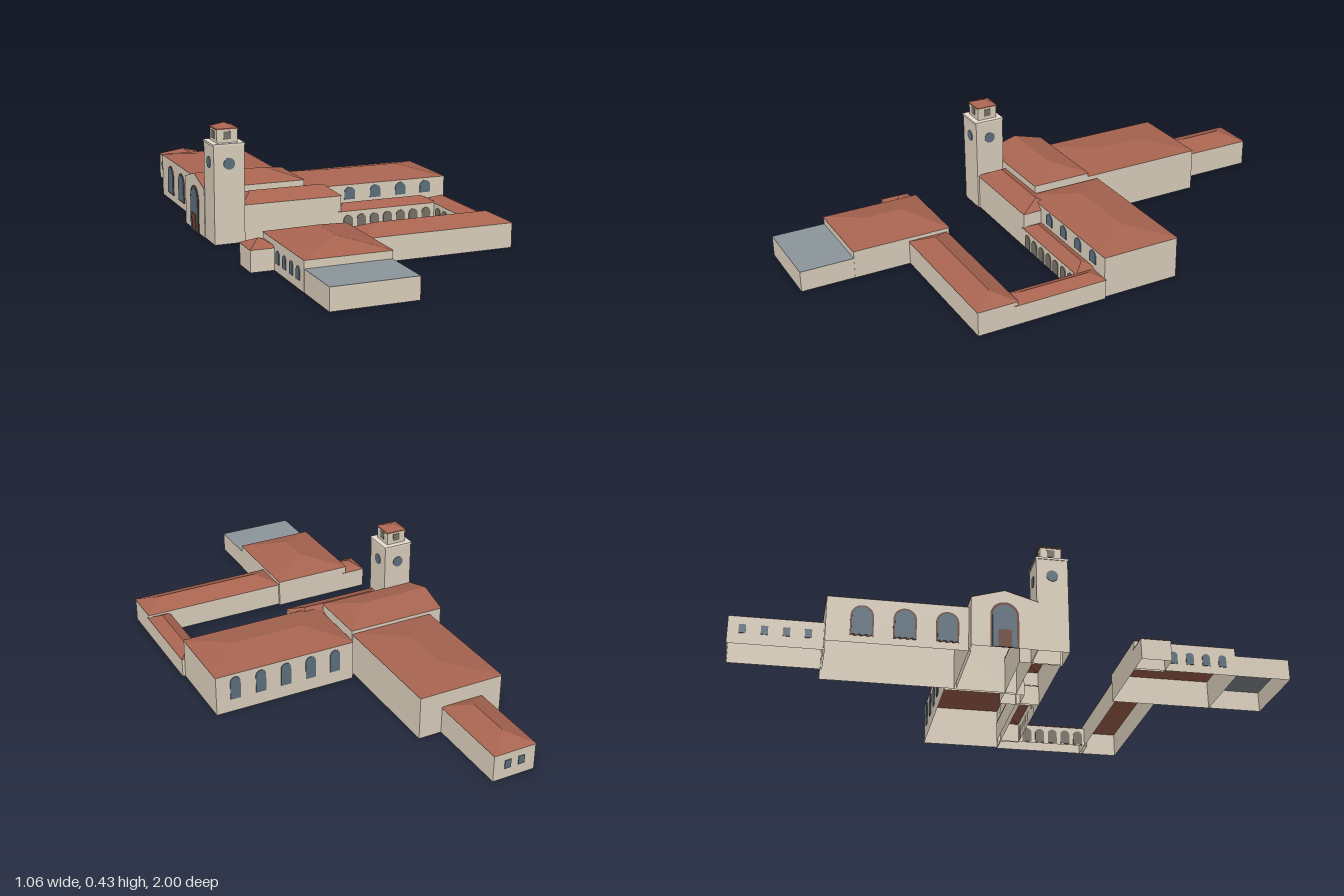
import * as THREE from 'three';

const mat = (color) => new THREE.MeshStandardMaterial({ color, flatShading: true, side: THREE.DoubleSide });
const WALL = mat(0xdfd3c0), ROOF = mat(0xa86450), GLASS = mat(0x5f7280), FRAME = mat(0x6e4436);
const FLAT = mat(0x8c959b), SHADE = mat(0x7a7468), TRIM = mat(0xe8dfd0);
const SOUTH = 0, NORTH = Math.PI, WEST = -Math.PI / 2, EAST = Math.PI / 2;

function add(parent, name, geometry, material, x = 0, y = 0, z = 0, yaw = 0) {
  const mesh = new THREE.Mesh(geometry, material);
  mesh.name = name;
  mesh.position.set(x, y, z);
  mesh.rotation.y = yaw;
  parent.add(mesh);
  return mesh;
}

function triangles(points, faces) {
  const g = new THREE.BufferGeometry();
  g.setAttribute('position', new THREE.Float32BufferAttribute(faces.flatMap((i) => points[i]), 3));
  g.computeVertexNormals();
  return g;
}

// Four walls, open below and above
function wallRing(w, h, d) {
  const x = w / 2, z = d / 2, pts = [], faces = [];
  for (const [px, pz] of [[-x, z], [x, z], [x, -z], [-x, -z]]) pts.push([px, 0, pz], [px, h, pz]);
  for (let i = 0; i < 4; i++) {
    const a = i * 2, b = ((i + 1) % 4) * 2;
    faces.push(a, b, b + 1, a, b + 1, a + 1);
  }
  return triangles(pts, faces);
}

// Hipped roof with its ridge along x; inset 0 leaves that end open for a gable
function hipRoof(l, w, rise, inset0, inset1) {
  const x = l / 2, z = w / 2;
  const pts = [[-x, 0, -z], [x, 0, -z], [x, 0, z], [-x, 0, z], [-x + inset0, rise, 0], [x - inset1, rise, 0]];
  const faces = [3, 2, 5, 3, 5, 4, 1, 0, 4, 1, 4, 5];
  if (inset0 > 0) faces.push(0, 3, 4);
  if (inset1 > 0) faces.push(2, 1, 5);
  return triangles(pts, faces);
}

// Block of walls under a hipped roof
function building(parent, name, [x0, x1, z0, z1], eave, ridge, insets, alongZ = false) {
  const g = new THREE.Group();
  g.name = name;
  g.position.set((x0 + x1) / 2, 0, (z0 + z1) / 2);
  parent.add(g);
  const w = x1 - x0, d = z1 - z0, o = 0.004;
  add(g, name + 'Walls', wallRing(w, eave, d), WALL);
  const roof = alongZ ? hipRoof(d + o, w + o, ridge - eave, ...insets) : hipRoof(w + o, d + o, ridge - eave, ...insets);
  add(g, name + 'Roof', roof, ROOF, 0, eave, 0, alongZ ? Math.PI / 2 : 0);
  return g;
}

// Thin panel with an optional round head, standing on a wall
function opening(parent, name, x, y, z, w, h, yaw, material, round = true, depth = 0.003) {
  const r = w / 2, s = new THREE.Shape();
  s.moveTo(-r, 0);
  s.lineTo(r, 0);
  s.lineTo(r, round ? h - r : h);
  if (round) s.absarc(0, h - r, r, 0, Math.PI, false);
  else s.lineTo(-r, h);
  s.closePath();
  const geo = new THREE.ExtrudeGeometry(s, { depth, bevelEnabled: false, curveSegments: 8 });
  add(parent, name, geo, material, x, y, z, yaw);
}

function tower(parent) {
  const g = new THREE.Group();
  g.name = 'bellTower';
  g.position.set(-0.388, 0, 0.137);
  parent.add(g);
  add(g, 'towerShaft', wallRing(0.113, 0.356, 0.113), WALL);
  add(g, 'towerCornice', new THREE.BoxGeometry(0.118, 0.008, 0.118), TRIM, 0, 0.358, 0);
  add(g, 'belfry', wallRing(0.077, 0.052, 0.077), WALL, 0, 0.36, 0);
  add(g, 'belfryEave', new THREE.BoxGeometry(0.083, 0.004, 0.083), ROOF, 0, 0.411, 0);
  add(g, 'belfryRoof', hipRoof(0.083, 0.083, 0.017, 0.0415, 0.0415), ROOF, 0, 0.412, 0);
  for (const yaw of [SOUTH, NORTH, WEST, EAST]) {
    const side = new THREE.Group();
    side.name = 'towerSide';
    side.rotation.y = yaw;
    g.add(side);
    const disc = add(side, 'roundWindow', new THREE.CylinderGeometry(0.021, 0.021, 0.003, 20), GLASS, 0, 0.29, 0.057);
    disc.rotation.x = Math.PI / 2;
    opening(side, 'belfryOpening', 0, 0.374, 0.0375, 0.027, 0.028, 0, SHADE, false);
  }
}

export function createModel() {
  const root = new THREE.Group();
  root.name = 'courtyardComplex';
  const site = new THREE.Group();
  site.name = 'site';
  site.rotation.y = -Math.PI / 18;
  root.add(site);

  // Wings and halls around the courtyard
  building(site, 'northAnnex', [-0.32, -0.156, -0.96, -0.63], 0.102, 0.134, [0.08, 0.08], true);
  building(site, 'northHall', [-0.398, -0.067, -0.636, -0.14], 0.166, 0.187, [0.155, 0.155], true);
  const entry = building(site, 'entranceHall', [-0.447, -0.063, -0.149, 0.084], 0.182, 0.216, [0, 0.112]);
  building(site, 'mainHall', [-0.051, 0.5, -0.182, 0.115], 0.156, 0.187, [0.138, 0.138]);
  building(site, 'frontAisle', [-0.338, 0.042, 0.04, 0.187], 0.135, 0.168, [0.055, 0.045]);
  building(site, 'cloisterWalk', [0.03, 0.43, 0.1, 0.187], 0.075, 0.097, [0.04, 0.045]);
  building(site, 'eastCorridor', [0.422, 0.51, 0.117, 0.47], 0.074, 0.095, [0.045, 0.045], true);
  building(site, 'southCorridor', [-0.052, 0.51, 0.458, 0.607], 0.09, 0.122, [0.072, 0.065]);
  building(site, 'southHall', [-0.357, -0.052, 0.448, 0.82], 0.106, 0.144, [0.118, 0.122], true);
  building(site, 'lodge', [-0.44, -0.345, 0.448, 0.556], 0.077, 0.102, [0.047, 0.047]);

  // Gable over the entrance
  add(entry, 'entranceGable', triangles([[0, 0.182, -0.1165], [0, 0.182, 0.1165], [0, 0.216, 0]], [0, 1, 2]), WALL, -0.192);

  // Flat-roofed extension
  add(site, 'extensionWalls', wallRing(0.303, 0.077, 0.2), WALL, -0.2045, 0, 0.92);
  add(site, 'extensionRoof', new THREE.BoxGeometry(0.303, 0.002, 0.2), FLAT, -0.2045, 0.077, 0.92);

  tower(site);

  // Entrance arch with door
  opening(site, 'entranceFrame', -0.447, 0, -0.033, 0.1, 0.17, WEST, FRAME, true, 0.002);
  opening(site, 'entranceGlass', -0.447, 0, -0.033, 0.084, 0.16, WEST, GLASS, true, 0.004);
  opening(site, 'entranceDoor', -0.447, 0, -0.033, 0.046, 0.065, WEST, FRAME, false, 0.006);

  // North hall: large framed windows
  for (const z of [-0.514, -0.368, -0.222]) {
    opening(site, 'hallWindowFrame', -0.398, 0.026, z, 0.08, 0.114, WEST, FRAME, true, 0.002);
    opening(site, 'hallWindow', -0.398, 0.03, z, 0.068, 0.104, WEST, GLASS, true, 0.004);
  }

  // Main hall: clerestory to the south, tall windows to the north
  for (let i = 0; i < 4; i++) opening(site, 'clerestoryWindow', 0.107 + i * 0.104, 0.1, 0.115, 0.043, 0.047, SOUTH, GLASS);
  for (let i = 0; i < 5; i++) opening(site, 'tallWindow', 0.225 + (i - 2) * 0.1, 0.052, -0.182, 0.04, 0.09, NORTH, GLASS);

  // Courtyard arcades
  for (let i = 0; i < 7; i++) opening(site, 'cloisterArch', 0.07 + i * 0.053, 0.004, 0.187, 0.036, 0.056, SOUTH, SHADE);
  for (let i = 0; i < 5; i++) opening(site, 'corridorArch', 0.422, 0.004, 0.222 + i * 0.052, 0.036, 0.056, WEST, SHADE);

  // Small windows of the annex and south hall
  for (let i = 0; i < 4; i++) {
    opening(site, 'annexWindow', -0.32, 0.04, -0.91 + i * 0.074, 0.024, 0.032, WEST, GLASS, false);
    opening(site, 'southHallWindow', -0.357, 0.03, 0.59 + i * 0.06, 0.028, 0.045, WEST, GLASS);
  }
  for (const x of [-0.265, -0.211]) opening(site, 'annexEndWindow', x, 0.04, -0.96, 0.024, 0.032, NORTH, GLASS, false);

  return root;
}
